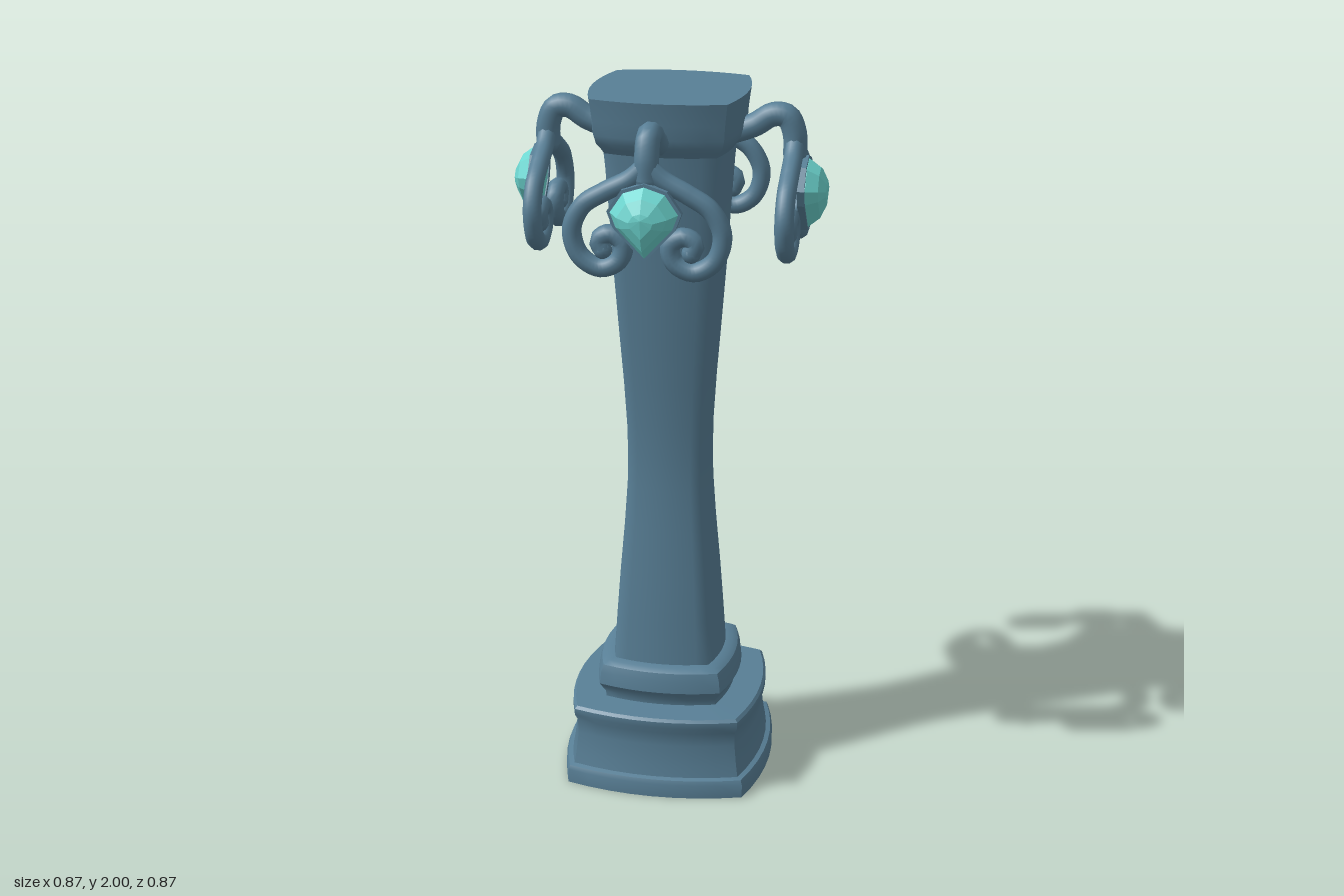
import * as THREE from 'three';
import { toCreasedNormals } from 'three/addons/utils/BufferGeometryUtils.js';
import { ConvexGeometry } from 'three/addons/geometries/ConvexGeometry.js';

const V = (x, y, z) => new THREE.Vector3(x, y, z);

// Loft of a square with bowed sides; profile rows are [half width, height]
function bowedLoft(profile, crease) {
  const corner = 0.86, steps = 8, n = steps * 4;
  const section = [];
  for (let side = 0; side < 4; side++) {
    const c = Math.round(Math.cos(side * Math.PI / 2)), s = Math.round(Math.sin(side * Math.PI / 2));
    for (let i = 0; i < steps; i++) {
      const t = -1 + 2 * i / steps;
      const x = t * corner, z = 1 - (1 - corner) * t * t;
      section.push([x * c + z * s, z * c - x * s]);
    }
  }
  const pos = [], index = [];
  profile.forEach(([r, y], k) => {
    section.forEach(([x, z]) => pos.push(x * r, y, z * r));
    if (k === profile.length - 1) return;
    for (let j = 0; j < n; j++) {
      const a = k * n + j, b = k * n + (j + 1) % n;
      index.push(a, b, a + n);
      if (profile[k + 1][0] > 0) index.push(b, b + n, a + n);
    }
  });
  const g = new THREE.BufferGeometry();
  g.setAttribute('position', new THREE.Float32BufferAttribute(pos, 3));
  g.setIndex(index);
  return toCreasedNormals(g, crease);
}

export function createModel() {
  const stone = new THREE.MeshStandardMaterial({ color: 0x587f96, side: THREE.DoubleSide });
  stone.name = 'blue stone';
  const crystal = new THREE.MeshStandardMaterial({ color: 0x6dd6d0, flatShading: true });
  crystal.name = 'turquoise crystal';

  const model = new THREE.Group();
  model.name = 'pillar';
  const add = (parent, name, geometry, material) => {
    const m = new THREE.Mesh(geometry, material);
    m.name = name;
    parent.add(m);
    return m;
  };

  // Hollow stepped base, open underneath
  add(model, 'base', bowedLoft([
    [0.296, 0], [0.296, 0.04], [0.291, 0.052], [0.278, 0.056], [0.272, 0.09], [0.265, 0.15],
    [0.266, 0.19], [0.275, 0.21], [0.275, 0.228], [0.268, 0.236], [0.185, 0.24],
  ], 0.6), stone);
  add(model, 'collar', bowedLoft([
    [0.185, 0.238], [0.186, 0.255], [0.2, 0.278], [0.204, 0.285], [0.2, 0.32],
    [0.193, 0.342], [0.178, 0.352], [0.155, 0.354],
  ], 0.6), stone);

  // Waisted shaft with softly shaded corners
  add(model, 'shaft', bowedLoft([
    [0.158, 0.35], [0.149, 0.48], [0.14, 0.6], [0.127, 0.75], [0.119, 0.87], [0.117, 0.95],
    [0.119, 1.05], [0.127, 1.18], [0.139, 1.33], [0.152, 1.5], [0.163, 1.67], [0.172, 1.8], [0.18, 1.88],
  ], 1.2), stone);
  add(model, 'capital', bowedLoft([
    [0.172, 1.84], [0.186, 1.862], [0.198, 1.878], [0.204, 1.9], [0.207, 1.94], [0.215, 2], [0, 2],
  ], 0.6), stone);

  // Shared shapes for the four brackets
  const stemCurve = new THREE.CatmullRomCurve3([
    V(0, 1.885, 0.17), V(0, 1.907, 0.23), V(0, 1.937, 0.28), V(0, 1.933, 0.318),
    V(0, 1.89, 0.338), V(0, 1.83, 0.341),
  ]);
  const stem = new THREE.TubeGeometry(stemCurve, 24, 0.033, 10);
  const armPoints = [
    [0, 1.87], [0.045, 1.83], [0.11, 1.795], [0.17, 1.755], [0.2, 1.69], [0.18, 1.62],
    [0.125, 1.588], [0.073, 1.612], [0.063, 1.658], [0.097, 1.682], [0.128, 1.664], [0.118, 1.638],
  ];
  const arm = side => new THREE.TubeGeometry(
    new THREE.CatmullRomCurve3(armPoints.map(([x, y]) => V(x * side, y, 0.341))), 56, 0.026, 10);
  const tip = new THREE.SphereGeometry(0.026, 10, 8);

  // Crystal outline around its centre, used for the stone and its rim
  const outline = [[0, 0.09], [0.055, 0.072], [0.09, 0.02], [0.075, -0.02], [0, -0.1],
    [-0.075, -0.02], [-0.09, 0.02], [-0.055, 0.072]];
  const scaled = s => outline.map(([x, y]) => new THREE.Vector2(x * s, y * s));
  const gemPoints = [V(0, 0.015, 0.435)];
  [[0.98, 0.362], [1, 0.38], [0.74, 0.412], [0.36, 0.43]].forEach(([s, z]) =>
    scaled(s).forEach(p => gemPoints.push(V(p.x, p.y, z))));
  const gem = new ConvexGeometry(gemPoints);
  const rimShape = new THREE.Shape(scaled(1.1));
  rimShape.holes.push(new THREE.Path(scaled(0.9).reverse()));
  const rim = new THREE.ExtrudeGeometry(rimShape, { depth: 0.02, bevelEnabled: false });

  // One scrolled bracket with a crystal on each side
  ['front', 'left', 'back', 'right'].forEach((name, i) => {
    const bracket = new THREE.Group();
    bracket.name = name + 'Bracket';
    bracket.rotation.y = i * Math.PI / 2;
    add(bracket, 'stem', stem, stone);
    add(bracket, 'stemEnd', new THREE.SphereGeometry(0.033, 10, 8), stone).position.set(0, 1.835, 0.341);
    for (const side of [1, -1]) {
      add(bracket, side > 0 ? 'leftScroll' : 'rightScroll', arm(side), stone);
      add(bracket, 'scrollTip', tip, stone).position.set(0.118 * side, 1.638, 0.341);
    }
    add(bracket, 'crystalRim', rim, stone).position.set(0, 1.73, 0.359);
    add(bracket, 'crystal', gem, crystal).position.y = 1.73;
    model.add(bracket);
  });
  return model;
}
